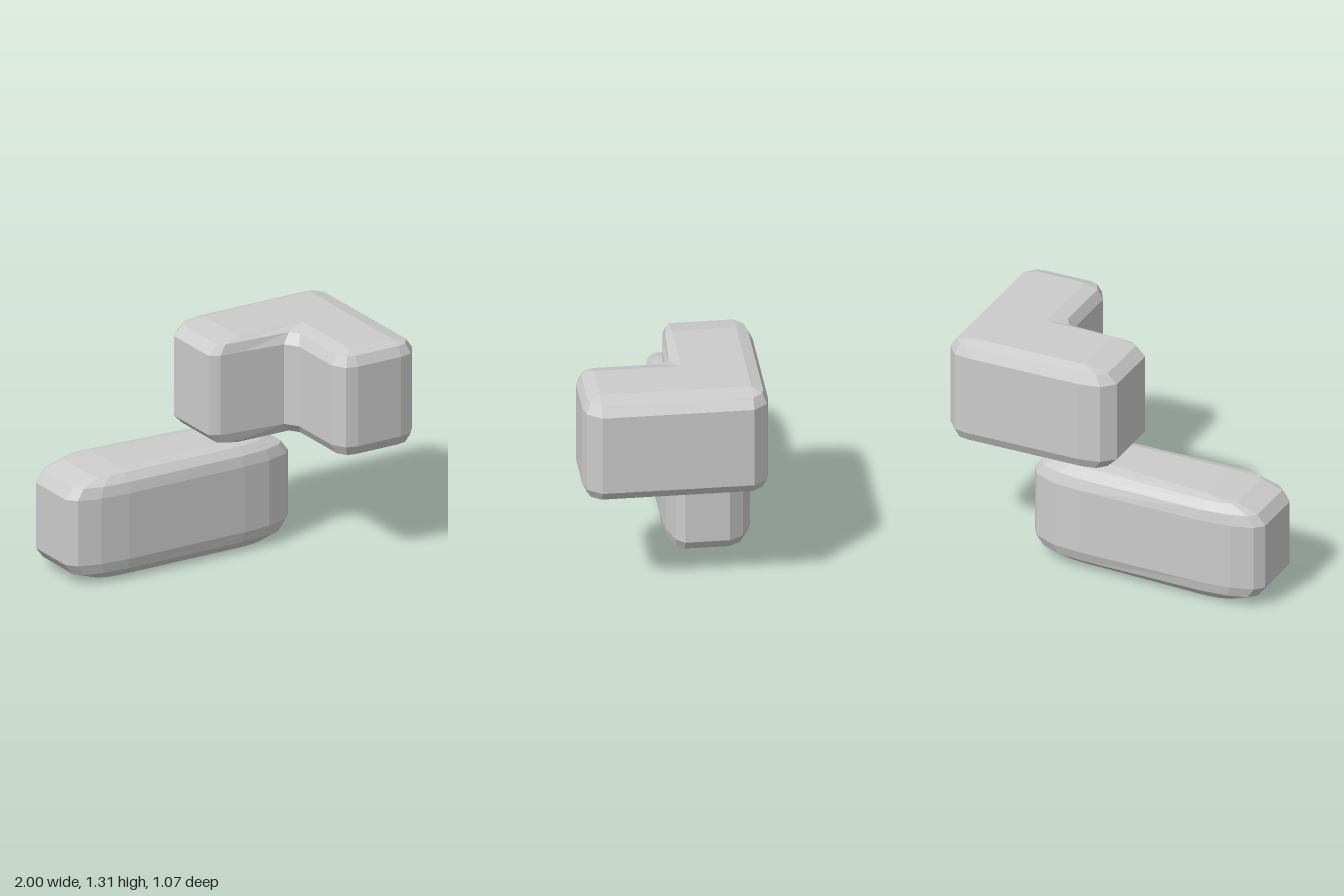
import * as THREE from 'three';

const material = new THREE.MeshStandardMaterial({
  color: 0xcccccc, flatShading: true, side: THREE.DoubleSide,
});
const rad = THREE.MathUtils.degToRad;

// Rounded plan corner: a core point plus offsets at the given angles (from +x towards +z)
function corner(x, z, rx, rz, angles) {
  return { core: [x, z], offsets: angles.map((a) => [rx * Math.cos(rad(a)), rz * Math.sin(rad(a))]) };
}

// Pillowed shell: the plan outline shrinks towards its corner cores at top and bottom.
// levels = [y, scale] from bottom to top; the underside stays open.
// The top is a fan from the first core; skip(level, edgeStart, isStraight) leaves out quads.
function pillow(name, corners, levels, skip = () => false) {
  const positions = [], indices = [];
  const edge = [];
  corners.forEach((c, k) => c.offsets.forEach((o, j) => {
    edge.push({ core: c.core, o, corner: k, straight: j === c.offsets.length - 1 });
  }));
  const n = edge.length;
  for (const [y, s] of levels) {
    for (const { core, o } of edge) positions.push(core[0] + o[0] * s, y, core[1] + o[1] * s);
  }
  for (let l = 0; l < levels.length - 1; l++) {
    for (let i = 0; i < n; i++) {
      if (skip(l, edge[i])) continue;
      const a = l * n + i, b = l * n + (i + 1) % n;
      // skip the triangles that collapse where an arc shrinks to its core
      if (levels[l][1] > 0 || edge[i].straight) indices.push(a, a + n, b);
      if (levels[l + 1][1] > 0 || edge[i].straight) indices.push(b, a + n, b + n);
    }
  }
  // Flat top
  const top = positions.length / 3;
  const y = levels[levels.length - 1][0];
  corners.forEach((c) => positions.push(c.core[0], y, c.core[1]));
  for (let k = 1; k < corners.length - 1; k++) indices.push(top, top + k + 1, top + k);

  const geometry = new THREE.BufferGeometry();
  geometry.setAttribute('position', new THREE.Float32BufferAttribute(positions, 3));
  geometry.setIndex(indices);
  const flat = geometry.toNonIndexed();
  flat.computeVertexNormals();
  const mesh = new THREE.Mesh(flat, material);
  mesh.name = name;
  return mesh;
}

// Levels of a rounded edge, mirrored for the bottom and the top
function roundLevels(bottom, top, radius, segments) {
  const upper = [];
  for (let k = 0; k <= segments; k++) {
    const a = (k / segments) * Math.PI / 2;
    upper.push([top - radius + radius * Math.sin(a), k === segments ? 0 : Math.cos(a)]);
  }
  const lower = upper.map(([y, s]) => [bottom + top - y, s]).reverse();
  return [...lower, ...upper];
}

export function createModel() {
  const group = new THREE.Group();
  group.name = 'stackedBlocks';

  // Long lower block; its open underside reaches up into both ends
  const arc = (start) => [0, 30, 60, 90].map((a) => start + a);
  group.add(pillow('lowerBlock', [
    corner(0.14, -0.105, 0.36, 0.105, arc(0)),
    corner(-0.64, -0.11, 0.36, 0.11, arc(90)),
    corner(-0.64, -0.43, 0.36, 0.105, arc(180)),
    corner(0.14, -0.36, 0.36, 0.16, arc(270)),
  ], roundLevels(0, 0.655, 0.127, 3),
  (level, e) => level === 0 && e.straight && e.corner % 2 === 1));

  // L-shaped upper block, starting at its inner corner
  group.add(pillow('upperBlock', [
    { core: [0.57, -0.07], offsets: [[-0.115, 0.16], [-0.17, 0.08]] },
    corner(0.14, -0.07, 0.2, 0.052, [90, 135, 180]),
    corner(0.14, -0.44, 0.2, 0.095, [180, 230, 270]),
    corner(0.86, -0.44, 0.14, 0.095, [270, 302, 360]),
    corner(0.86, 0.435, 0.14, 0.1, [0, 56, 90]),
    corner(0.57, 0.435, 0.115, 0.1, [90, 126, 180]),
  ], roundLevels(0.66, 1.312, 0.082, 2)));

  return group;
}
